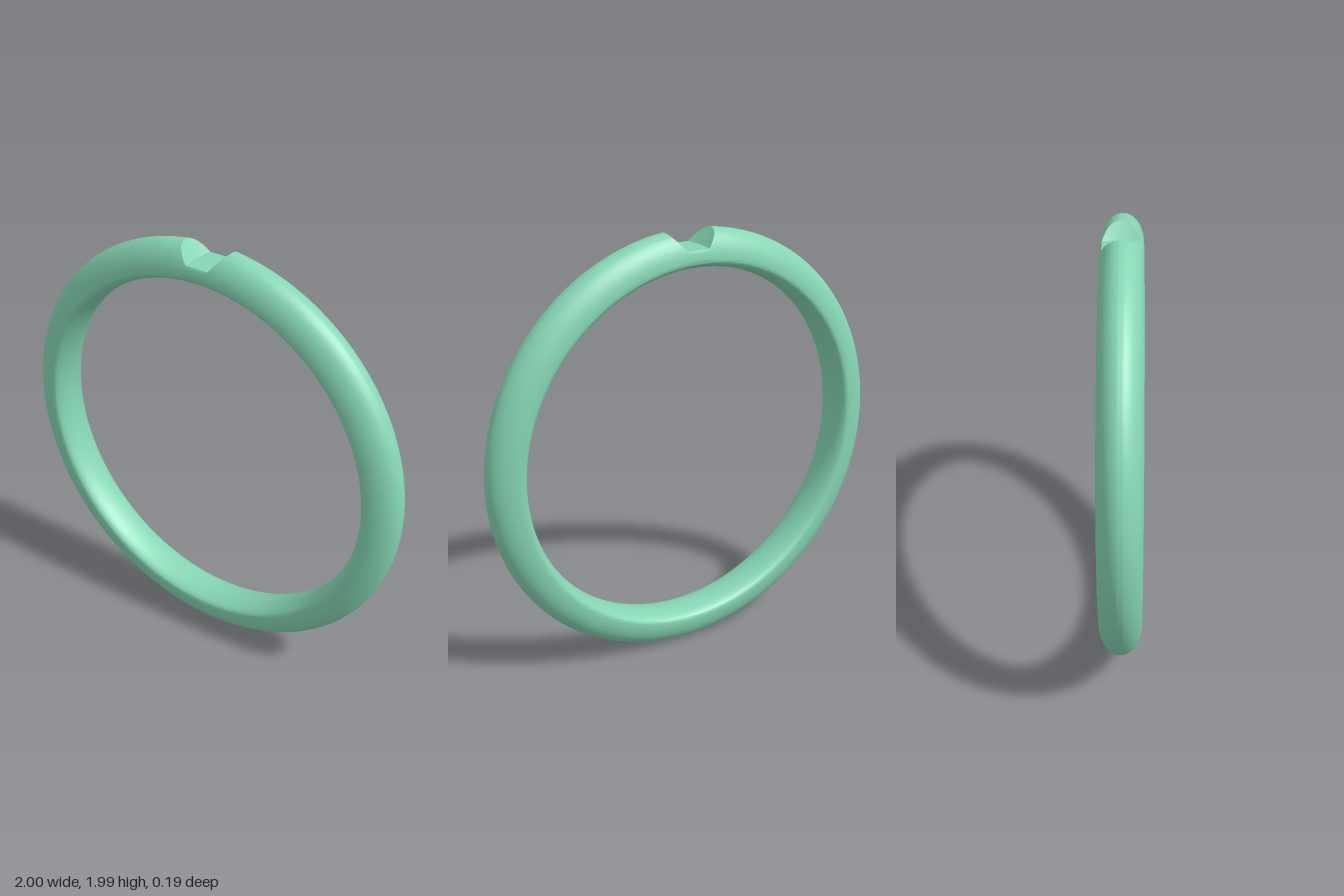
import * as THREE from 'three';
import { toCreasedNormals } from 'three/addons/utils/BufferGeometryUtils.js';

const RIM = 0.87;        // radius where the band is widest
const CROWN = 0.13;      // bulge of the outer face
const COMFORT = 0.04;    // bulge of the inner face
const HALF_WIDTH = 0.095;
const FLOOR = 1.92;      // height of the notch floor
const SLOPE = 1.33;      // steepness of the notch walls

// Highest allowed y at a point: flat floor, then sloping, slightly bowed walls
function notchHeight(x, z) {
  const halfFloor = 0.063 - 0.01 * (z / HALF_WIDTH) ** 2;
  return FLOOR + SLOPE * Math.max(0, Math.abs(x) - halfFloor);
}

// Angles from the top, packed closely around the notch
function sweepAngles() {
  const reach = 0.14, fine = 160, coarse = 200, angles = [];
  for (let i = 0; i < fine; i++) angles.push(-reach + (2 * reach * i) / fine);
  for (let i = 0; i < coarse; i++) angles.push(reach + ((2 * Math.PI - 2 * reach) * i) / coarse);
  return angles;
}

// Rounded section swept round a circle, trimmed by the notch
function bandGeometry() {
  const angles = sweepAngles(), sides = 88;
  const positions = [], index = [];
  angles.forEach((theta, i) => {
    const next = (i + 1) % angles.length;
    for (let j = 0; j < sides; j++) {
      const phi = (j / sides) * Math.PI * 2, c = Math.cos(phi);
      const r = RIM + c * (c > 0 ? CROWN : COMFORT);
      const z = HALF_WIDTH * Math.sin(phi);
      const x = r * Math.sin(theta);
      let y = 1 + r * Math.cos(theta);
      if (Math.abs(x) < 0.2) y = Math.min(y, notchHeight(x, z));
      positions.push(x, y, z);

      const k = (j + 1) % sides;
      const a = i * sides + j, b = i * sides + k;
      const d = next * sides + j, e = next * sides + k;
      index.push(a, b, d, b, e, d);
    }
  });
  const geometry = new THREE.BufferGeometry();
  geometry.setAttribute('position', new THREE.Float32BufferAttribute(positions, 3));
  geometry.setIndex(index);
  return toCreasedNormals(geometry, 0.5);
}

export function createModel() {
  const group = new THREE.Group();
  group.name = 'ring';
  const band = new THREE.Mesh(bandGeometry(), new THREE.MeshStandardMaterial({ color: 0x86d6b4 }));
  band.name = 'notchedBand';
  group.add(band);
  return group;
}
